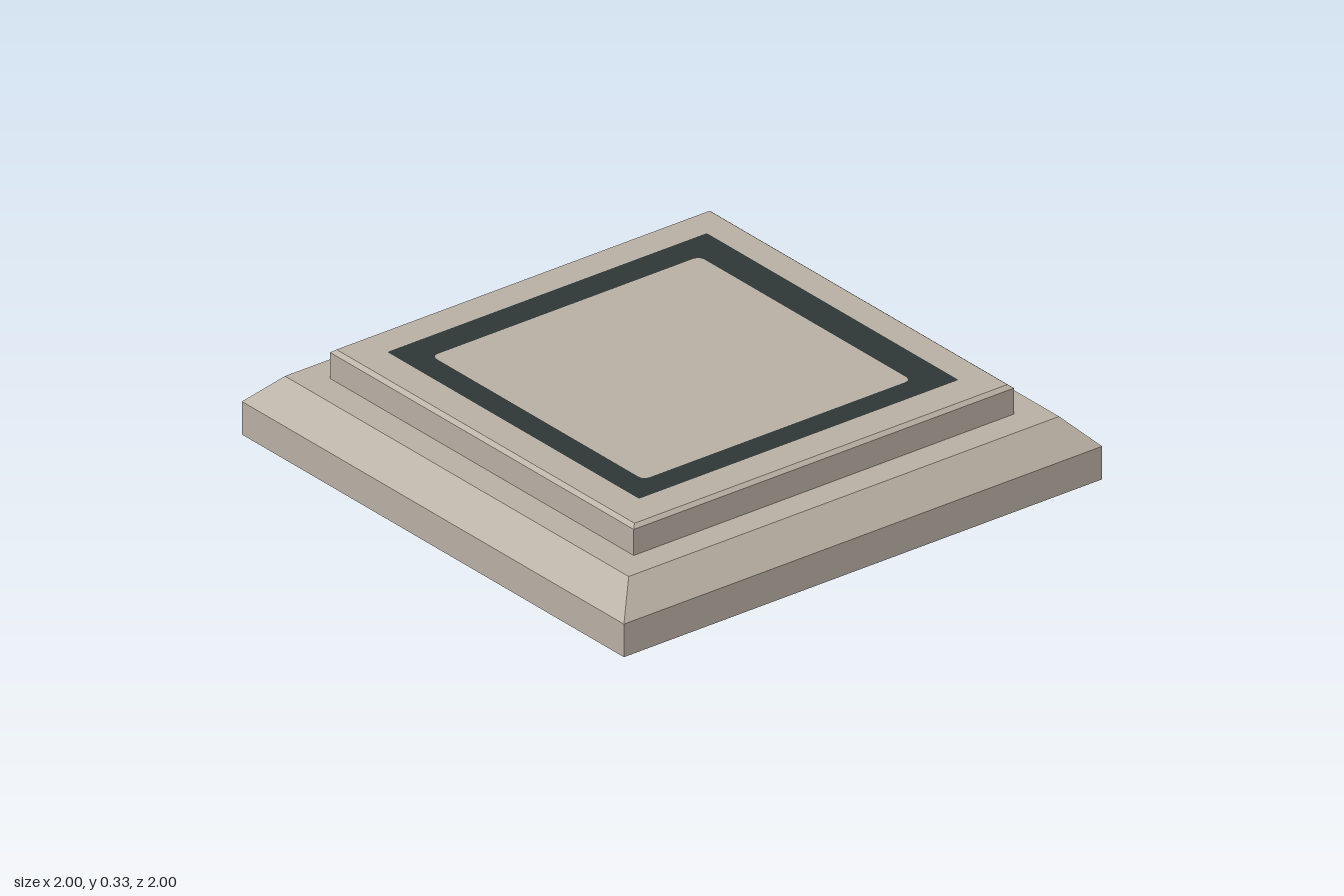
import * as THREE from 'three';

const stone = new THREE.MeshStandardMaterial({ name: 'stone', color: 0xb8afa3, side: THREE.DoubleSide });
const darkInlay = new THREE.MeshStandardMaterial({ name: 'darkInlay', color: 0x2d3636, side: THREE.DoubleSide });

// Open square band between two heights, given half-widths at bottom and top
function band(name, bottom, y0, top, y1) {
  const g = new THREE.CylinderGeometry(top * Math.SQRT2, bottom * Math.SQRT2, y1 - y0, 4, 1, true)
    .rotateY(Math.PI / 4)
    .translate(0, (y0 + y1) / 2, 0)
    .toNonIndexed();
  g.computeVertexNormals();
  const mesh = new THREE.Mesh(g, stone);
  mesh.name = name;
  return mesh;
}

// Rectangle outline in plan, with lightly rounded corners (z runs opposite to shape y)
function outline(x0, x1, z0, z1, r = 0) {
  const s = new THREE.Shape();
  const [b, t] = [-z1, -z0];
  if (!r) {
    s.moveTo(x0, b).lineTo(x1, b).lineTo(x1, t).lineTo(x0, t).closePath();
    return s;
  }
  s.moveTo(x0 + r, b);
  s.lineTo(x1 - r, b).quadraticCurveTo(x1, b, x1, b + r);
  s.lineTo(x1, t - r).quadraticCurveTo(x1, t, x1 - r, t);
  s.lineTo(x0 + r, t).quadraticCurveTo(x0, t, x0, t - r);
  s.lineTo(x0, b + r).quadraticCurveTo(x0, b, x0 + r, b);
  return s;
}

const square = (h) => outline(-h, h, -h, h);
const inlayOuter = () => outline(-0.663, 0.655, -0.675, 0.661, 0.008);
const inlayInner = () => outline(-0.55, 0.559, -0.554, 0.566, 0.03);

// Flat horizontal face at height y, optionally with an opening
function face(name, shape, hole, y, material) {
  if (hole) shape.holes.push(hole);
  const g = new THREE.ShapeGeometry(shape, 5).rotateX(-Math.PI / 2).translate(0, y, 0);
  const mesh = new THREE.Mesh(g, material);
  mesh.name = name;
  return mesh;
}

export function createModel() {
  const model = new THREE.Group();
  model.name = 'steppedPlinth';
  model.add(
    // Hollow stepped shell, open underneath
    band('baseWall', 1, 0, 1, 0.122),
    band('baseSlope', 1, 0.122, 0.9, 0.224),
    face('ledge', square(0.9), square(0.795), 0.224, stone),
    band('upperWall', 0.795, 0.224, 0.795, 0.32),
    band('upperBevel', 0.795, 0.32, 0.78, 0.332),
    // Top surface divided by the dark square inlay
    face('topBorder', square(0.78), inlayOuter(), 0.332, stone),
    face('inlayFrame', inlayOuter(), inlayInner(), 0.332, darkInlay),
    face('topCentre', inlayInner(), null, 0.332, stone)
  );
  return model;
}
